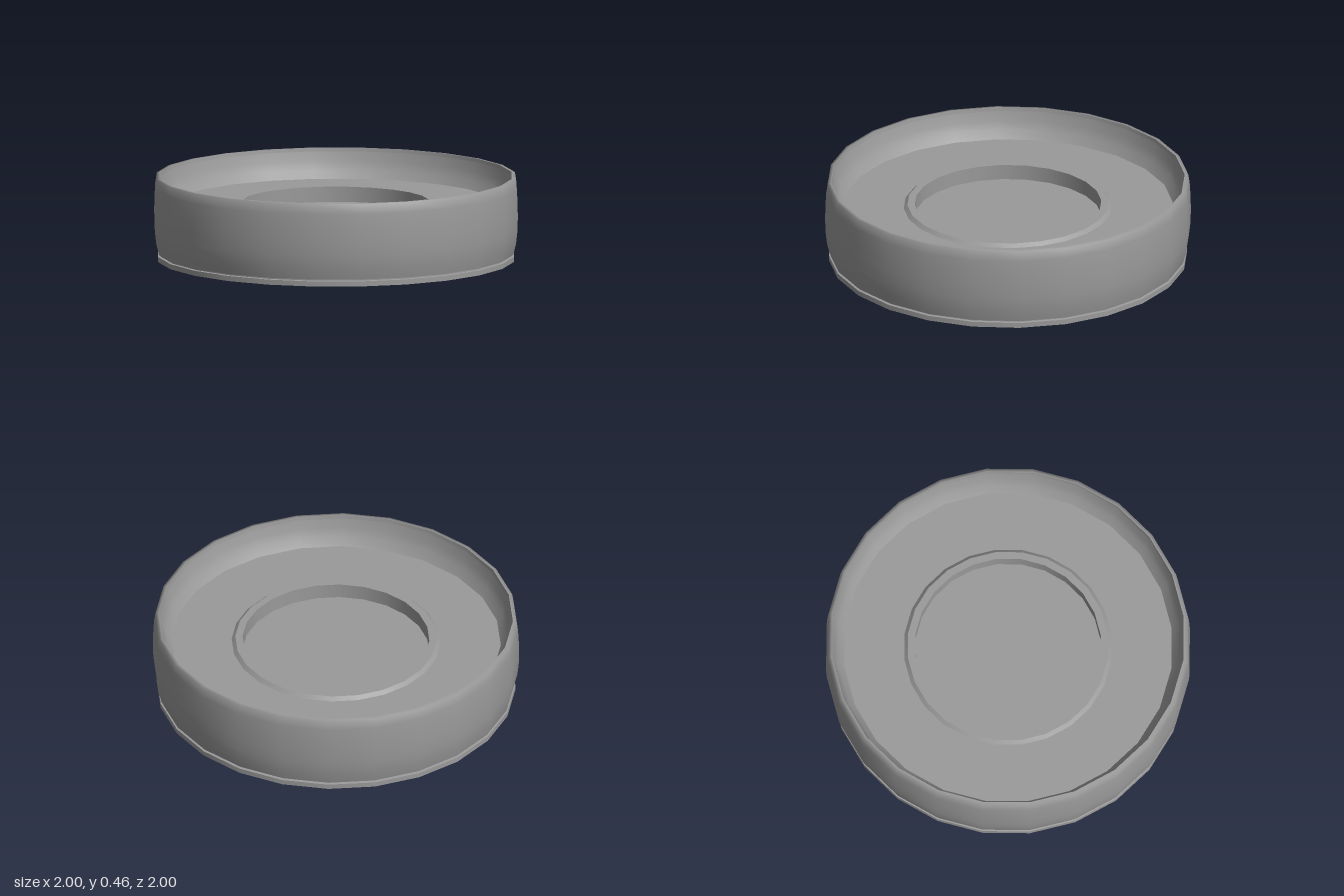
import * as THREE from 'three';

const SIDES = 24;
const material = new THREE.MeshStandardMaterial({ color: 0x9a9a9a });

// Each strip is a smooth band; a crease falls where one strip meets the next.
function turned(name, strips) {
  const group = new THREE.Group();
  group.name = name;
  for (const [part, strip] of Object.entries(strips)) {
    const points = strip.map(([r, y]) => new THREE.Vector2(r, y));
    const mesh = new THREE.Mesh(new THREE.LatheGeometry(points, SIDES), material);
    mesh.name = part;
    group.add(mesh);
  }
  return group;
}

export function createModel() {
  const model = new THREE.Group();
  model.name = 'roundDish';

  // Flat foot plate, with a narrow groove between it and the wall
  model.add(turned('footPlate', {
    footBottom: [[0, 0], [0.98, 0]],
    footEdge: [[0.98, 0], [0.98, 0.028]],
    footLedge: [[0.98, 0.028], [0.965, 0.03]],
    groove: [[0.965, 0.03], [0.965, 0.037]],
    grooveTop: [[0.965, 0.037], [0.975, 0.038]],
  }));

  // Bulging outer wall rolling over the rim, a small step, and the inner wall
  model.add(turned('bowl', {
    outerWall: [[0.975, 0.038], [0.99, 0.1], [0.998, 0.17], [1, 0.25],
      [0.998, 0.33], [0.994, 0.4], [0.986, 0.455], [0.966, 0.457]],
    rimStep: [[0.966, 0.457], [0.963, 0.437]],
    innerWall: [[0.963, 0.437], [0.95, 0.385], [0.932, 0.34], [0.9, 0.295]],
    floor: [[0.9, 0.295], [0.57, 0.295]],
  }));

  // Raised ring around the sunken centre
  model.add(turned('centreWell', {
    ringSlope: [[0.57, 0.295], [0.55, 0.314]],
    ringTop: [[0.55, 0.314], [0.51, 0.314]],
    wellWall: [[0.51, 0.314], [0.51, 0.23]],
    wellFloor: [[0.51, 0.23], [0, 0.23]],
  }));

  return model;
}
